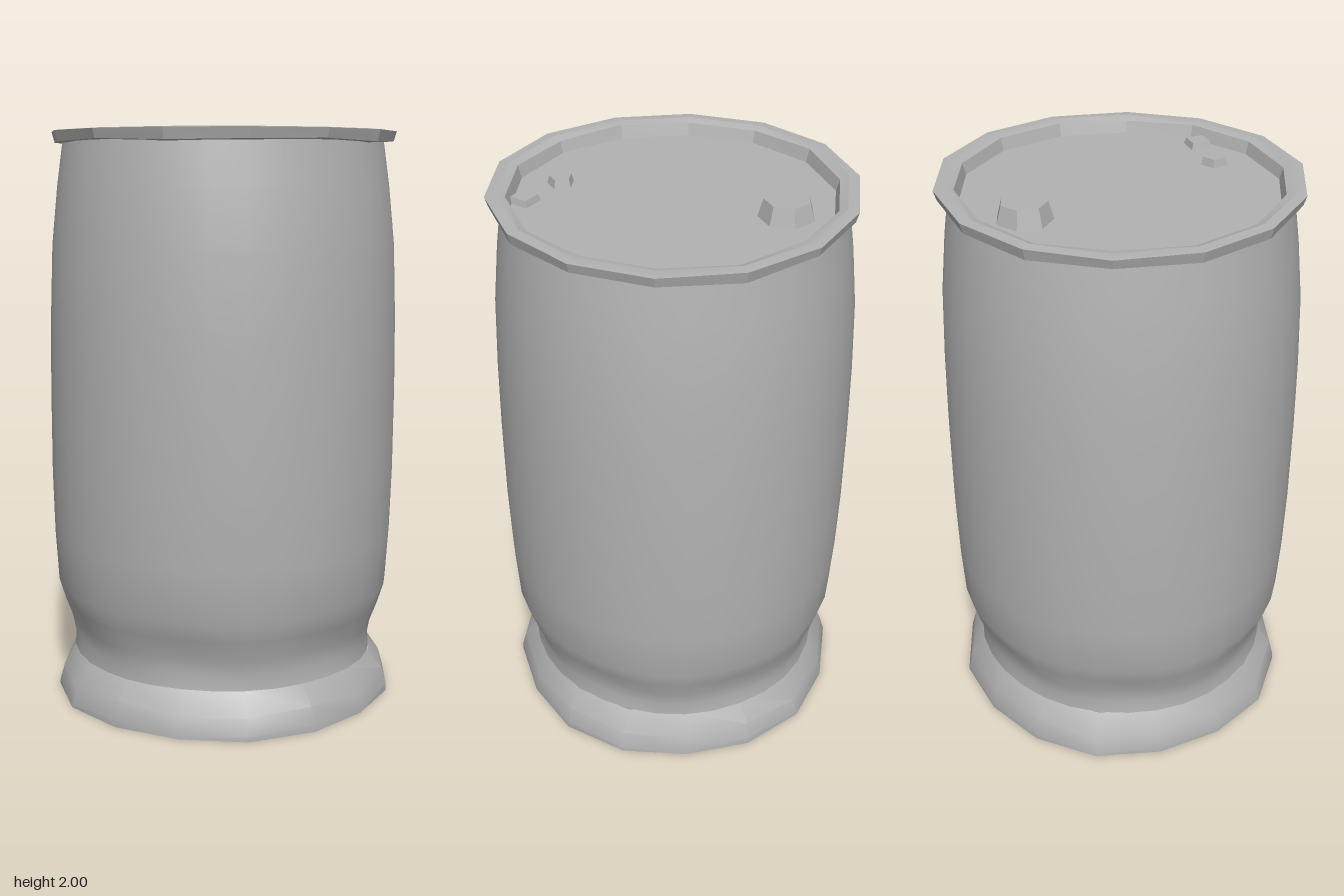
import * as THREE from 'three';
import { toCreasedNormals } from 'three/addons/utils/BufferGeometryUtils.js';

const steel = new THREE.MeshStandardMaterial({ color: 0xb2b2b2 });
steel.name = 'grey steel';

// Lathe a profile of [radius, height], then dent it by a rule of angle and height
function dentedLathe(name, profile, sides, crease, dent) {
  const geo = new THREE.LatheGeometry(profile.map(([r, y]) => new THREE.Vector2(r, y)), sides);
  const pos = geo.attributes.position;
  for (let i = 0; i < pos.count; i++) {
    const x = pos.getX(i), y = pos.getY(i), z = pos.getZ(i);
    const [scale, lift] = dent(Math.atan2(x, z), y, Math.hypot(x, z));
    pos.setXYZ(i, x * scale, y + lift, z * scale);
  }
  const mesh = new THREE.Mesh(toCreasedNormals(geo, crease), steel);
  mesh.name = name;
  return mesh;
}

// Low, irregular plug built from a tapered cylinder
function plug(name, x, z, radius, bottom, top, sides, turn) {
  const geo = new THREE.CylinderGeometry(radius * 0.8, radius, top - bottom, sides);
  geo.rotateY(turn);
  const mesh = new THREE.Mesh(toCreasedNormals(geo, 0.3), steel);
  mesh.position.set(x, (top + bottom) / 2, z);
  mesh.name = name;
  return mesh;
}

export function createModel() {
  const barrel = new THREE.Group();
  barrel.name = 'barrel';

  // Bulging body with a pinched waist above the foot
  barrel.add(dentedLathe('body', [
    [0.54, 0.15], [0.535, 0.2], [0.545, 0.26], [0.572, 0.33], [0.595, 0.4], [0.606, 0.58], [0.612, 0.8],
    [0.612, 1.1], [0.608, 1.35], [0.598, 1.6], [0.577, 1.8], [0.555, 1.955],
  ], 32, 0.7, (a, y) => {
    const low = Math.max(0, 1 - Math.abs(y - 0.26) / 0.14);
    return [1 + 0.004 * Math.sin(3 * a + y * 2) + low * 0.012 * Math.sin(7 * a + 1), 0];
  }));

  // Flared, crumpled foot with a flat base
  barrel.add(dentedLathe('foot', [
    [0, 0], [0.605, 0], [0.605, 0.015], [0.588, 0.075], [0.54, 0.15],
  ], 16, 0.5, (a, y) => [
    1 + 0.012 * Math.sin(5 * a + 1) * (y < 0.1 ? 1 : 0.4),
    y > 0.01 && y < 0.1 ? 0.012 * Math.sin(6 * a) : 0,
  ]));

  // Faceted rolled rim, dropping inside to the recessed lid
  barrel.add(dentedLathe('rim', [
    [0.54, 1.945], [0.592, 1.95], [0.602, 1.985], [0.565, 1.988], [0.537, 1.98], [0.525, 1.935],
  ], 14, 0.35, (a, y, r) => [
    1 + 0.008 * Math.sin(3 * a + 2),
    r > 0.53 && y < 1.984 ? 0.004 * Math.sin(5 * a) : 0,
  ]));

  // Flat lid
  const lid = new THREE.Mesh(new THREE.CylinderGeometry(0.545, 0.545, 0.02, 28), steel);
  lid.position.y = 1.928;
  lid.name = 'lid';
  barrel.add(lid);

  // Bungs and the small crimp on the lid
  barrel.add(plug('largeBung', 0.0, -0.37, 0.095, 1.93, 1.998, 7, 0.3));
  barrel.add(plug('smallBung', 0.0, 0.39, 0.048, 1.93, 1.965, 5, 0.2));
  barrel.add(plug('crimp', 0.16, 0.45, 0.055, 1.93, 1.96, 4, 0.5));

  return barrel;
}
